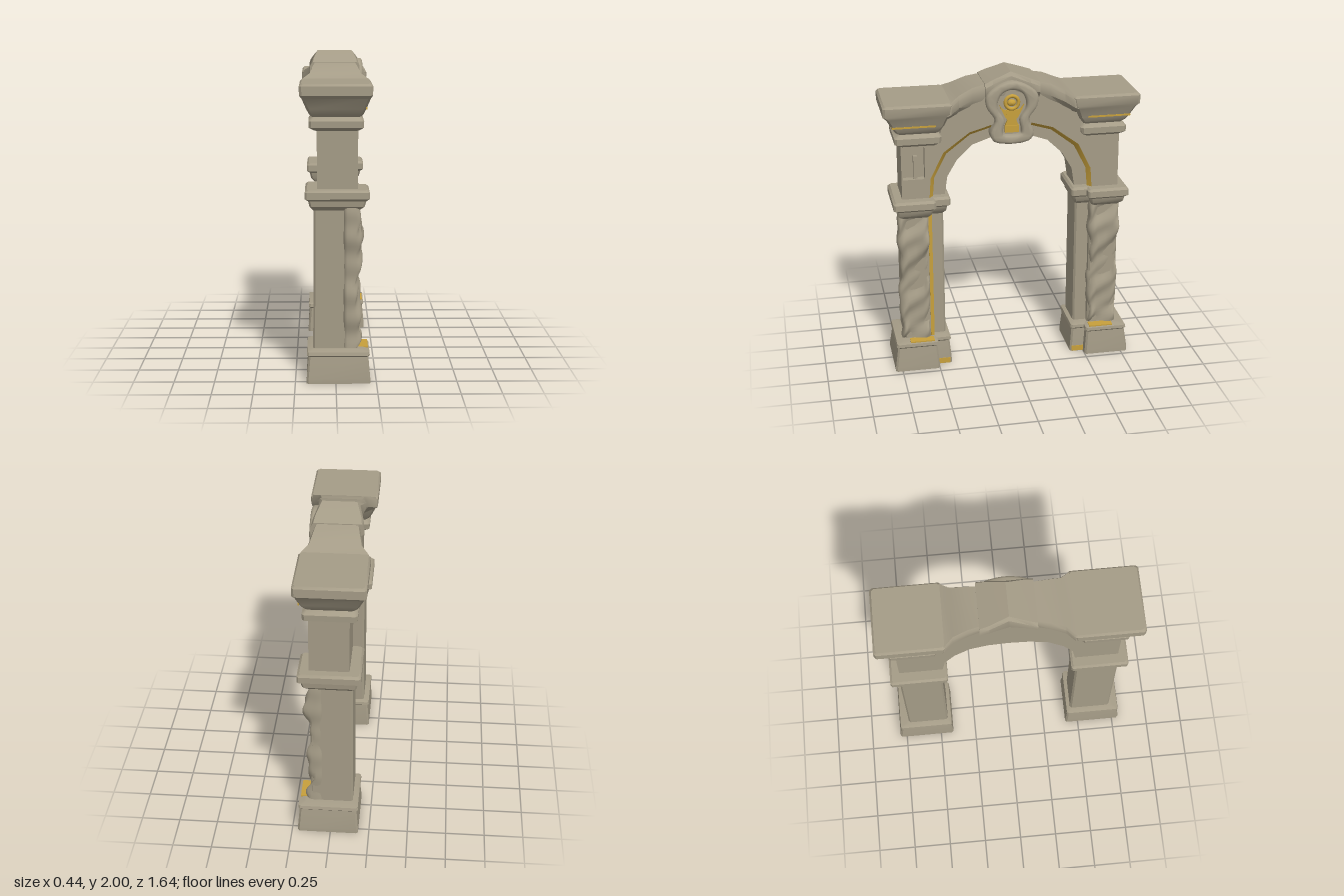
import * as THREE from 'three';
import { toCreasedNormals } from 'three/addons/utils/BufferGeometryUtils.js';

const stone = new THREE.MeshStandardMaterial({ color: 0xa59c87, side: THREE.DoubleSide });
stone.name = 'weathered stone';
const gold = new THREE.MeshStandardMaterial({ color: 0xc7a03c, side: THREE.DoubleSide });
gold.name = 'old gold';

function add(parent, name, geometry, material = stone, crease = 0.6) {
  const mesh = new THREE.Mesh(toCreasedNormals(geometry, crease), material);
  mesh.name = name;
  parent.add(mesh);
  return mesh;
}

// Skin a list of equal-length rings and close both ends
function loft(rings) {
  const n = rings[0].length, pos = rings.flat(2), index = [];
  rings.slice(1).forEach((_, i) => {
    for (let j = 0; j < n; j++) {
      const a = i * n + j, b = i * n + (j + 1) % n;
      index.push(a, b, b + n, a, b + n, a + n);
    }
  });
  const last = (rings.length - 1) * n;
  for (let j = 1; j < n - 1; j++) index.push(0, j + 1, j, last, last + j, last + j + 1);
  const g = new THREE.BufferGeometry();
  g.setAttribute('position', new THREE.Float32BufferAttribute(pos, 3));
  g.setIndex(index);
  return g;
}

// Moulded block: levels of [y, x0, x1, z0, z1], corners chamfered, mirrored by side
function tiers(levels, side, c = 0.012) {
  return loft(levels.map(([y, x0, x1, za, zb]) => {
    const z0 = side > 0 ? za : -zb, z1 = side > 0 ? zb : -za;
    return [[x1, z1 - c], [x1, z0 + c], [x1 - c, z0], [x0 + c, z0],
      [x0, z0 + c], [x0, z1 - c], [x0 + c, z1], [x1 - c, z1]].map(([x, z]) => [x, y, z]);
  }));
}

function plate(parent, name, x, y, z, material = gold) {
  const g = new THREE.BoxGeometry(x[1] - x[0], y[1] - y[0], Math.abs(z[1] - z[0]));
  g.translate((x[0] + x[1]) / 2, (y[0] + y[1]) / 2, (z[0] + z[1]) / 2);
  return add(parent, name, g, material);
}

// Extrude a (-z, y) outline between two x positions
function slab(points, x0, x1, hole, bevel = 0) {
  const shape = new THREE.Shape(points.map(p => new THREE.Vector2(...p)));
  if (hole) shape.holes.push(new THREE.Path(hole.map(p => new THREE.Vector2(...p))));
  const g = new THREE.ExtrudeGeometry(shape, { depth: x1 - x0 - bevel, bevelEnabled: bevel > 0,
    bevelThickness: bevel, bevelSize: bevel, bevelOffset: -bevel, bevelSegments: 2 });
  return g.translate(0, 0, x0).rotateY(Math.PI / 2);
}

const mirrored = half => [...half, ...half.filter(p => p[0] !== 0).reverse().map(([u, y]) => [-u, y])];

function smoothLoop(half) {
  const pts = mirrored(half).map(([u, y]) => new THREE.Vector3(u, y, 0));
  return new THREE.CatmullRomCurve3(pts, true, 'centripetal').getPoints(48).slice(0, -1).map(p => [p.x, p.y]);
}

// Worn carving: a squared column with lumps along its length
function carving(side) {
  const h = 0.88, g = new THREE.CylinderGeometry(1, 1, h, 28, 44);
  const p = g.attributes.position;
  const root = v => Math.sign(v) * Math.pow(Math.abs(v), 0.5);
  for (let i = 0; i < p.count; i++) {
    const x = p.getX(i), z = p.getZ(i), y = p.getY(i) + h / 2 + 0.21;
    const lump = 0.012 * Math.sin(y * 17 + z * 2) + 0.008 * Math.sin(y * 41 + z * 5)
      + 0.018 * Math.exp(-(((y - 0.26) / 0.05) ** 2)) + 0.022 * Math.exp(-(((y - 0.93) / 0.09) ** 2));
    const groove = 0.014 * Math.exp(-(((z - 0.25 * Math.sin(y * 7)) / 0.3) ** 2));
    const edge = 0.008 * Math.sin(y * 14 + 1) + 0.005 * Math.sin(y * 37);
    const front = x > 0 ? lump - groove : 0;
    const wide = z > 0 ? 0.105 + edge : 0.09 + edge * 0.5;
    p.setXYZ(i, 0.095 + root(x) * 0.052 + front * Math.min(1, Math.abs(x) * 2), y,
      side * 0.635 + root(z) * wide);
  }
  return g;
}

// Arch curves in (-z, y): opening and gold-edged moulding
const opening = [[0.43, 1.19], [0.41, 1.32], [0.345, 1.43], [0.245, 1.525], [0.13, 1.565], [0, 1.575]];
const moulding = [[0.535, 1.19], [0.525, 1.33], [0.44, 1.5], [0.27, 1.625], [0.13, 1.665], [0, 1.675]];
const crest = [[0, 1.93], [0.17, 1.88], [0.42, 1.74], [0.46, 1.62], [0.71, 1.6], [0.71, 1.19]];

function buildPillar(side) {
  const pillar = new THREE.Group();
  pillar.name = side > 0 ? 'frontPillar' : 'rearPillar';
  const base = (x1, z0) => [[0, -0.18, x1, z0, 0.795], [0.03, -0.18, x1, z0, 0.795],
    [0.165, -0.168, x1 - 0.012, z0 + 0.012, 0.775], [0.175, -0.178, x1 - 0.003, z0 + 0.002, 0.785],
    [0.195, -0.176, x1 - 0.005, z0 + 0.006, 0.78], [0.205, -0.15, x1 - 0.04, z0 + 0.025, 0.74]];
  add(pillar, 'baseBlock', tiers(base(0.212, 0.5), side));
  add(pillar, 'innerBase', tiers(base(0.15, 0.41), side));
  add(pillar, 'shaft', tiers([[0.19, -0.14, 0.13, 0.53, 0.72], [1.1, -0.135, 0.13, 0.53, 0.72]], side));
  add(pillar, 'innerShaft', tiers([[0.19, -0.14, 0.085, 0.44, 0.72], [1.1, -0.135, 0.085, 0.44, 0.72]], side));
  add(pillar, 'wornCarving', carving(side), stone, 1.2);
  const band = (x1, z0) => [[1.07, -0.14, x1 - 0.06, z0 + 0.04, 0.72], [1.095, -0.16, x1 - 0.03, z0 + 0.025, 0.745],
    [1.13, -0.168, x1 - 0.02, z0 + 0.018, 0.75], [1.145, -0.188, x1, z0, 0.772],
    [1.185, -0.188, x1, z0, 0.772], [1.2, -0.175, x1 - 0.015, z0 + 0.012, 0.758]];
  add(pillar, 'capitalBand', tiers(band(0.205, 0.5), side));
  add(pillar, 'innerCapitalBand', tiers(band(0.15, 0.4), side));
  add(pillar, 'cornice', tiers([[1.555, -0.13, 0.14, 0.48, 0.715], [1.575, -0.163, 0.168, 0.455, 0.748],
    [1.615, -0.165, 0.17, 0.45, 0.75], [1.64, -0.145, 0.15, 0.47, 0.725], [1.655, -0.16, 0.165, 0.46, 0.74],
    [1.69, -0.178, 0.182, 0.435, 0.765], [1.755, -0.205, 0.207, 0.41, 0.8], [1.775, -0.22, 0.22, 0.395, 0.822],
    [1.83, -0.22, 0.22, 0.385, 0.822], [1.845, -0.208, 0.208, 0.395, 0.81]], side, 0.015));
  // Gilded traces
  plate(pillar, 'corniceGilding', [0.18, 0.188], [1.69, 1.702], [side * 0.49, side * 0.765]);
  plate(pillar, 'baseTopGilding', [0.14, 0.2], [0.2, 0.208], [side * 0.53, side * 0.69]);
  plate(pillar, 'baseFootGilding', [0.145, 0.153], [0.003, 0.04], [side * 0.42, side * 0.5]);
  if (side > 0) plate(pillar, 'shaftGilding', [0.126, 0.134], [0.21, 1.08], [0.522, 0.545]);
  return pillar;
}

function buildArch() {
  const arch = new THREE.Group();
  arch.name = 'arch';
  const outline = curve => [...mirrored([...curve].map(([u, y]) => [u, y])), ...mirrored(crest.slice().reverse()).reverse()];
  add(arch, 'archWall', slab(outline(opening), -0.115, 0.088));
  const niche = [[-0.7, 1.33], [-0.56, 1.33], [-0.56, 1.545], [-0.7, 1.545]];
  add(arch, 'archFacing', slab(outline(moulding), 0.088, 0.135, niche));
  plate(arch, 'nicheRib', [0.085, 0.118], [1.33, 1.48], [0.605, 0.63], stone);
  // Sloping gold lining on both halves of the moulding
  for (const side of [1, -1]) {
    const pos = [], index = [];
    moulding.slice(0, 5).forEach(([u, y], i) => {
      const [v, w] = opening[i];
      pos.push(0.138, y, side * u, 0.11, y + (w - y) * 0.24, side * (u + (v - u) * 0.24));
      if (i) index.push(2 * i - 2, 2 * i - 1, 2 * i, 2 * i - 1, 2 * i + 1, 2 * i);
    });
    if (side < 0) index.reverse();
    const g = new THREE.BufferGeometry();
    g.setAttribute('position', new THREE.Float32BufferAttribute(pos, 3));
    g.setIndex(index);
    add(arch, 'archGilding', g, gold);
  }
  // Coping sections: [z, half width, half width of top, top y, bottom y]
  const coping = sections => loft(sections.map(([z, w, t, top, low]) =>
    [[-0.11, low - 0.05], [0.125, low - 0.05], [w, low], [w, top - 0.025], [t, top],
      [-t, top], [-w, top - 0.025], [-w, low]].map(([x, y]) => [x, y, z])));
  for (const side of [1, -1]) {
    const run = [[0.42, 0.215, 0.205, 1.84, 1.76], [0.395, 0.215, 0.205, 1.845, 1.77],
      [0.34, 0.172, 0.16, 1.875, 1.8], [0.25, 0.152, 0.14, 1.915, 1.84], [0.15, 0.135, 0.125, 1.935, 1.87]]
      .map(([z, ...r]) => [side * z, ...r]);
    add(arch, 'coping', coping(side > 0 ? run.reverse() : run));
  }
  add(arch, 'crown', coping([[-0.18, 0.165, 0.15, 1.935, 1.87], [-0.12, 0.158, 0.142, 1.957, 1.88],
    [0, 0.13, 0.11, 2, 1.88], [0.12, 0.15, 0.135, 1.957, 1.88], [0.17, 0.158, 0.14, 1.935, 1.87]]));
  return arch;
}

function buildKeystone() {
  const keystone = new THREE.Group();
  keystone.name = 'keystone';
  const outer = smoothLoop([[0.11, 1.555], [0.14, 1.61], [0.11, 1.7], [0.16, 1.78], [0.165, 1.86], [0.1, 1.92], [0, 1.95]]);
  const inner = smoothLoop([[0.055, 1.605], [0.06, 1.63], [0.05, 1.7], [0.09, 1.77], [0.092, 1.82], [0.06, 1.875], [0, 1.895]]);
  add(keystone, 'keystoneFrame', slab(outer, 0.06, 0.178, inner, 0.018), stone, 0.9);
  add(keystone, 'keystonePanel', slab(inner, 0.06, 0.135));
  // Gold emblem: ring, boss, tapering stem and foot
  const ring = new THREE.TorusGeometry(0.042, 0.012, 8, 24).rotateY(Math.PI / 2).translate(0.15, 1.81, 0);
  add(keystone, 'goldRing', ring, gold, 1.2);
  const boss = new THREE.SphereGeometry(0.028, 16, 10).scale(0.6, 0.8, 1).translate(0.14, 1.805, 0);
  add(keystone, 'goldBoss', boss, gold, 1.2);
  add(keystone, 'goldCradle', slab(smoothLoop([[0.03, 1.7], [0.06, 1.75], [0.08, 1.795], [0.055, 1.765], [0, 1.75]]),
    0.13, 0.148), gold);
  add(keystone, 'goldStem', slab(mirrored([[0.045, 1.615], [0.043, 1.66], [0.03, 1.69], [0.035, 1.76]]), 0.13, 0.15), gold);
  plate(keystone, 'goldFoot', [0.13, 0.16], [1.615, 1.66], [-0.045, 0.045]);
  return keystone;
}

export function createModel() {
  const model = new THREE.Group();
  model.name = 'stoneArchway';
  model.add(buildPillar(1), buildPillar(-1), buildArch(), buildKeystone());
  return model;
}
